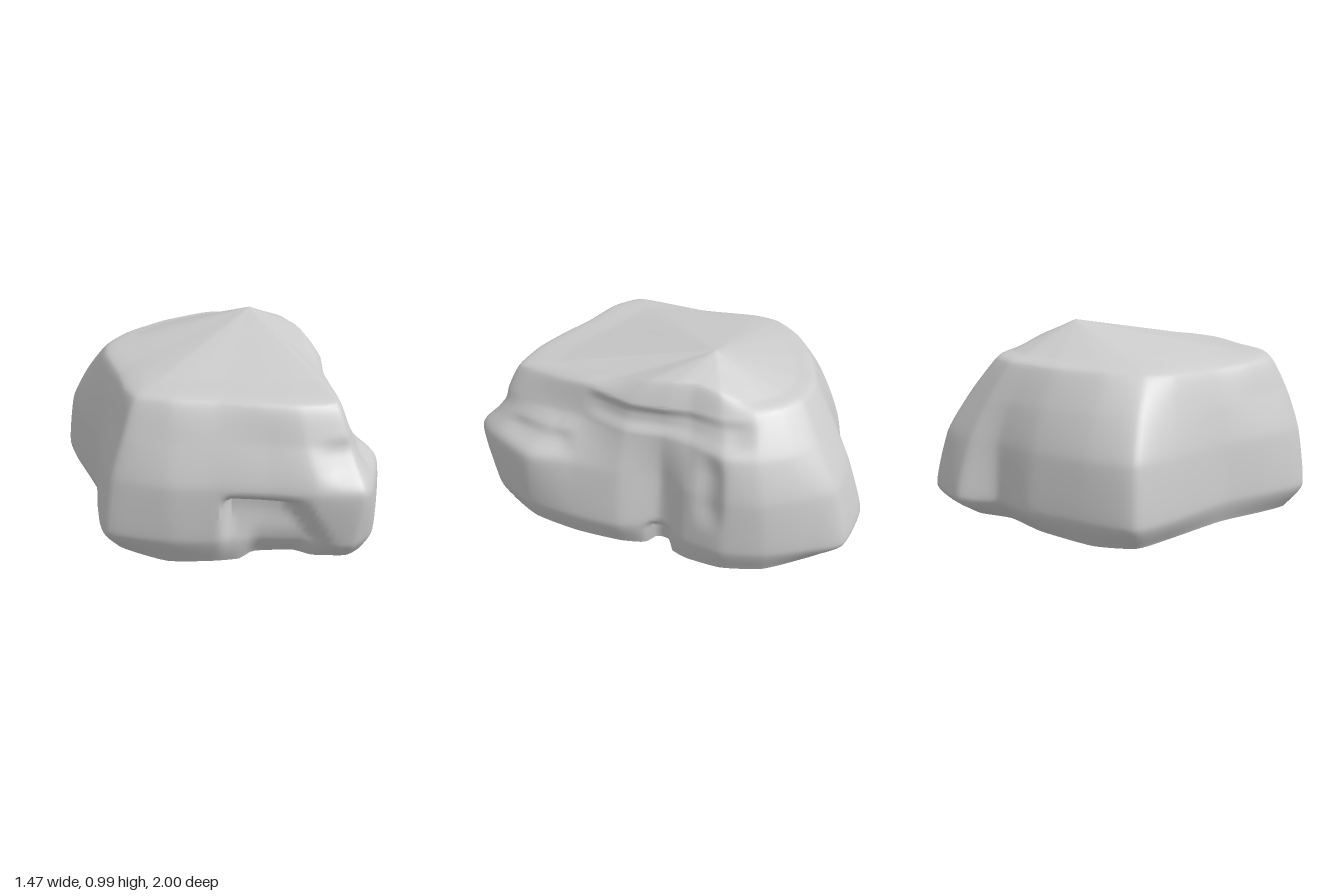
import * as THREE from 'three';
import { toCreasedNormals } from 'three/addons/utils/BufferGeometryUtils.js';

const { smoothstep } = THREE.MathUtils;
const COLS = 24, SUB_AROUND = 8, SUB_UP = 12;

// Outlines (x, z pairs) running from the front tip round the right side, the back and the left side
const foot = [
  .38, .89, .49, .83, .58, .65, .63, .40, .64, .15, .61, -.05, .67, -.20, .69, -.39,
  .64, -.59, .54, -.76, .45, -.87, .20, -.88, .05, -.78, -.20, -.77, -.48, -.67, -.67, -.56,
  -.67, -.37, -.64, 0, -.66, .28, -.65, .46, -.44, .60, -.22, .69, 0, .77, .20, .84];
const low = [
  .38, .96, .52, .87, .63, .66, .67, .40, .68, .15, .63, -.05, .69, -.20, .73, -.40,
  .69, -.60, .59, -.80, .49, -.96, .20, -1.0, .04, -.86, -.20, -.84, -.50, -.73, -.72, -.61,
  -.73, -.40, -.68, 0, -.72, .30, -.72, .52, -.45, .68, -.22, .75, 0, .83, .20, .91];
const middle = [
  .40, 1.0, .48, .93, .63, .64, .62, .40, .63, .15, .58, -.05, .66, -.20, .71, -.40,
  .68, -.58, .57, -.77, .46, -.90, .20, -.92, .05, -.84, -.20, -.80, -.49, -.70, -.69, -.58,
  -.70, -.36, -.66, 0, -.69, .30, -.68, .52, -.45, .68, -.22, .76, 0, .85, .20, .95];
const shoulder = [
  .38, .86, .43, .78, .46, .58, .49, .38, .57, .14, .56, -.05, .59, -.20, .66, -.38,
  .62, -.54, .52, -.69, .40, -.79, .18, -.82, .03, -.78, -.18, -.73, -.44, -.62, -.61, -.49,
  -.63, -.30, -.61, .03, -.62, .28, -.61, .50, -.42, .62, -.20, .70, 0, .77, .18, .84];
const rim = [
  .35, .77, .39, .68, .42, .52, .45, .35, .53, .12, .53, -.05, .51, -.18, .53, -.34,
  .50, -.49, .42, -.60, .31, -.68, .14, -.71, 0, -.68, -.16, -.63, -.38, -.51, -.51, -.38,
  -.55, -.24, -.54, .05, -.55, .26, -.53, .44, -.39, .54, -.18, .61, 0, .69, .17, .75];

const peak = new THREE.Vector3(.25, 1, -.23);

// Underside dips a little at the front left and lifts at both ends and along the left
const footY = (x, z) => .035 - .035 * Math.exp(-((x + .33) ** 2 + (z - .5) ** 2) / .08)
  + .035 * smoothstep(Math.abs(z), .6, .9) + .02 * smoothstep(-x, .5, .65);

function ring(pairs, height) {
  return Array.from({ length: COLS }, (_, i) => {
    const x = pairs[2 * i], z = pairs[2 * i + 1];
    return new THREE.Vector3(x, typeof height === 'function' ? height(x, z) : height, z);
  });
}

// Soft-edged band: 1 between a and b, falling to 0 over the distance e
const band = (v, a, b, e) => smoothstep(v, a - e, a) * (1 - smoothstep(v, b, b + e));

// Hollows and cracks pressed into the front and right faces
function erode(p) {
  const { x, y, z } = p;
  if (z > .5) {
    // Overhung alcove whose right end runs down and outward
    const end = .08 + .6 * Math.max(0, .38 - y);
    p.z -= .09 * band(x, -.14, end, .09) * smoothstep(y, 0, .36) * (1 - smoothstep(y, .36, .43));
    // Hollow under the foot of the alcove
    p.z -= .06 * band(x, -.02, .14, .1) * (1 - smoothstep(y, .04, .26));
    // Ledge above the front tip
    p.z -= .025 * band(x, .34, .6, .16) * band(y, .56, .6, .09);
  }
  if (x > .38) {
    // Small arch at the base
    p.x -= .06 * band(z, -.08, -.02, .05) * (1 - smoothstep(y, .13, .2));
    // Cracks along the ledges and a shallow upright furrow
    p.x -= .025 * band(z, .5, .75, .12) * band(y, .52, .54, .05);
    p.x -= .025 * band(z, -.4, .25, .15) * band(y, .72, .75, .06);
    p.x -= .025 * band(z, -.34, -.32, .08) * band(y, .4, .55, .15);
  }
  return p;
}

function rockGeometry() {
  const rimRing = ring(rim, (x, z) => .80 + .04 * Math.abs(z) - .04 * x * smoothstep(z, .3, .6));
  const crownRing = rimRing.map((p) => {
    const q = p.clone().lerp(peak, .22);
    q.y = .86 + .06 * smoothstep(p.x, .2, .48) * band(p.z, -.2, 0, .35);
    return q;
  });
  const slopeRing = crownRing.map((p) => p.clone().lerp(peak, .55));
  const rings = [ring(foot, footY), ring(low, .17), ring(middle, .45), ring(shoulder, .65),
    rimRing, crownRing, slopeRing, Array(COLS).fill(peak)];

  // Smooth each outline around, then join them with upright curves
  const around = COLS * SUB_AROUND, up = (rings.length - 1) * SUB_UP;
  const loops = rings.map((r) => new THREE.CatmullRomCurve3(r, true, 'catmullrom', .3));
  const pos = [], index = [];
  for (let i = 0; i < around; i++) {
    const column = new THREE.CatmullRomCurve3(
      loops.map((c) => c.getPoint(i / around)), false, 'catmullrom', .3);
    for (let j = 0; j < up; j++) pos.push(...erode(column.getPoint(j / up)).toArray());
  }
  const top = around * up, bottom = top + 1;
  pos.push(...peak.toArray(), 0, .035, 0);
  for (let i = 0; i < around; i++) {
    const a = i * up, b = ((i + 1) % around) * up;
    for (let j = 0; j < up - 1; j++) {
      index.push(a + j, b + j, b + j + 1, a + j, b + j + 1, a + j + 1);
    }
    index.push(a + up - 1, b + up - 1, top, b, a, bottom);
  }
  const g = new THREE.BufferGeometry();
  g.setAttribute('position', new THREE.Float32BufferAttribute(pos, 3));
  g.setIndex(index);
  return toCreasedNormals(g, .7);
}

export function createModel() {
  const group = new THREE.Group();
  group.name = 'boulder';
  const rock = new THREE.Mesh(rockGeometry(), new THREE.MeshStandardMaterial({ color: 0xcccccc }));
  rock.name = 'rock';
  group.add(rock);
  return group;
}
